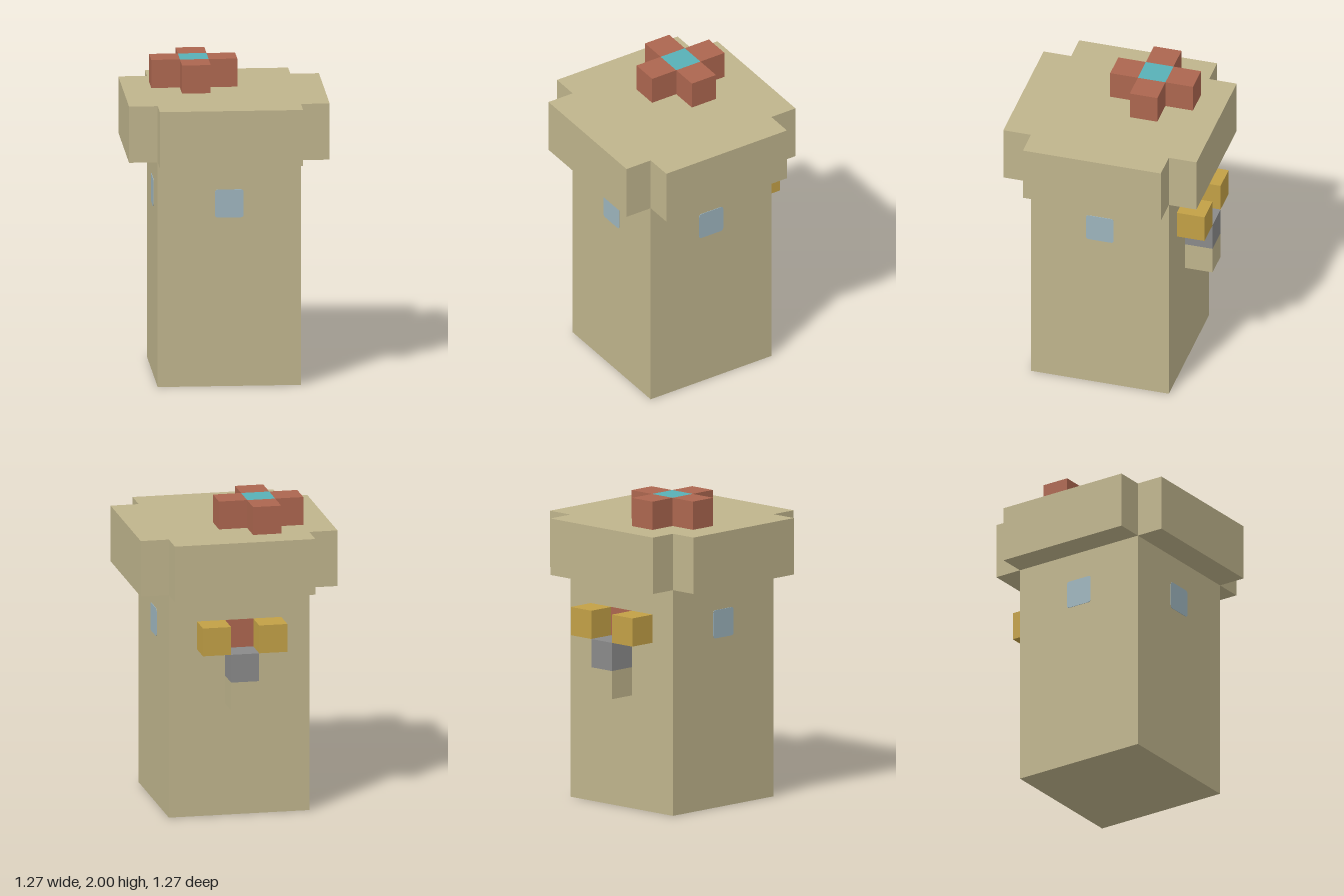
import * as THREE from 'three';

const U = 2 / 11; // size of one block

const mat = (name, color) => {
  const m = new THREE.MeshStandardMaterial({ color });
  m.name = name;
  return m;
};

export function createModel() {
  const sand = mat('sandstone', 0xbfb48c);
  const brick = mat('brick red', 0xac664f);
  const teal = mat('teal', 0x58b0b6);
  const glass = mat('pale blue glass', 0x9db4bd);
  const gold = mat('gold', 0xc2a046);
  const grey = mat('grey', 0x8a8a8a);

  const model = new THREE.Group();
  model.name = 'tower';

  const add = (name, geometry, material, parent = model) => {
    const mesh = new THREE.Mesh(geometry, material);
    mesh.name = name;
    parent.add(mesh);
    return mesh;
  };
  // Box centred on x, z and standing on y, all in block units
  const block = (name, material, x, y, z, w = 1, h = 1, d = 1, parent = model) => {
    const mesh = add(name, new THREE.BoxGeometry(w * U, h * U, d * U), material, parent);
    mesh.position.set(x * U, (y + h / 2) * U, z * U);
    return mesh;
  };

  // Shaft
  block('shaft', sand, 0, 0, 0, 5, 8, 5);

  // Overhanging top with notched corners
  const outline = [];
  for (let i = 0; i < 4; i++) {
    for (const [x, y] of [[3.5, -2.5], [3.5, 2.5], [2.5, 2.5]]) {
      outline.push(new THREE.Vector2(x * U, y * U).rotateAround(new THREE.Vector2(), i * Math.PI / 2));
    }
  }
  const capGeometry = new THREE.ExtrudeGeometry(new THREE.Shape(outline), { depth: 2 * U, bevelEnabled: false });
  capGeometry.rotateX(-Math.PI / 2);
  add('overhangingTop', capGeometry, sand).position.y = 8 * U;

  // Cross of blocks on the roof
  const cross = new THREE.Group();
  cross.name = 'roofCross';
  model.add(cross);
  block('crossCentre', teal, -1, 10, -1, 1, 1, 1, cross);
  for (const [dx, dz] of [[1, 0], [-1, 0], [0, 1], [0, -1]]) {
    block('crossArm', brick, -1 + dx, 10, -1 + dz, 1, 1, 1, cross);
  }

  // Windows on the front and both sides
  const h = U / 2, r = 0.02;
  const pane = new THREE.Shape();
  pane.moveTo(-h + r, -h);
  pane.lineTo(h - r, -h);
  pane.quadraticCurveTo(h, -h, h, -h + r);
  pane.lineTo(h, h - r);
  pane.quadraticCurveTo(h, h, h - r, h);
  pane.lineTo(-h + r, h);
  pane.quadraticCurveTo(-h, h, -h, h - r);
  pane.lineTo(-h, -h + r);
  pane.quadraticCurveTo(-h, -h, -h + r, -h);
  const paneGeometry = new THREE.ExtrudeGeometry(pane, { depth: 0.003, bevelEnabled: false, curveSegments: 4 });
  paneGeometry.translate(0, 6.5 * U, 2.5 * U);
  for (const [name, angle] of [['frontWindow', 0], ['leftWindow', Math.PI / 2], ['rightWindow', -Math.PI / 2]]) {
    add(name, paneGeometry, glass).rotation.y = angle;
  }

  // Emblem of blocks on the back wall
  const emblem = new THREE.Group();
  emblem.name = 'backEmblem';
  model.add(emblem);
  block('emblemFoot', sand, 0, 4, -3, 1, 1, 1, emblem);
  block('emblemStem', grey, 0, 5, -3, 1, 1, 1, emblem);
  for (const side of [-1, 1]) block('emblemTip', gold, side, 6, -3, 1, 1, 1, emblem);
  block('emblemPanel', brick, 0, 6, -2.5, 1, 1, 0.03, emblem);

  return model;
}
